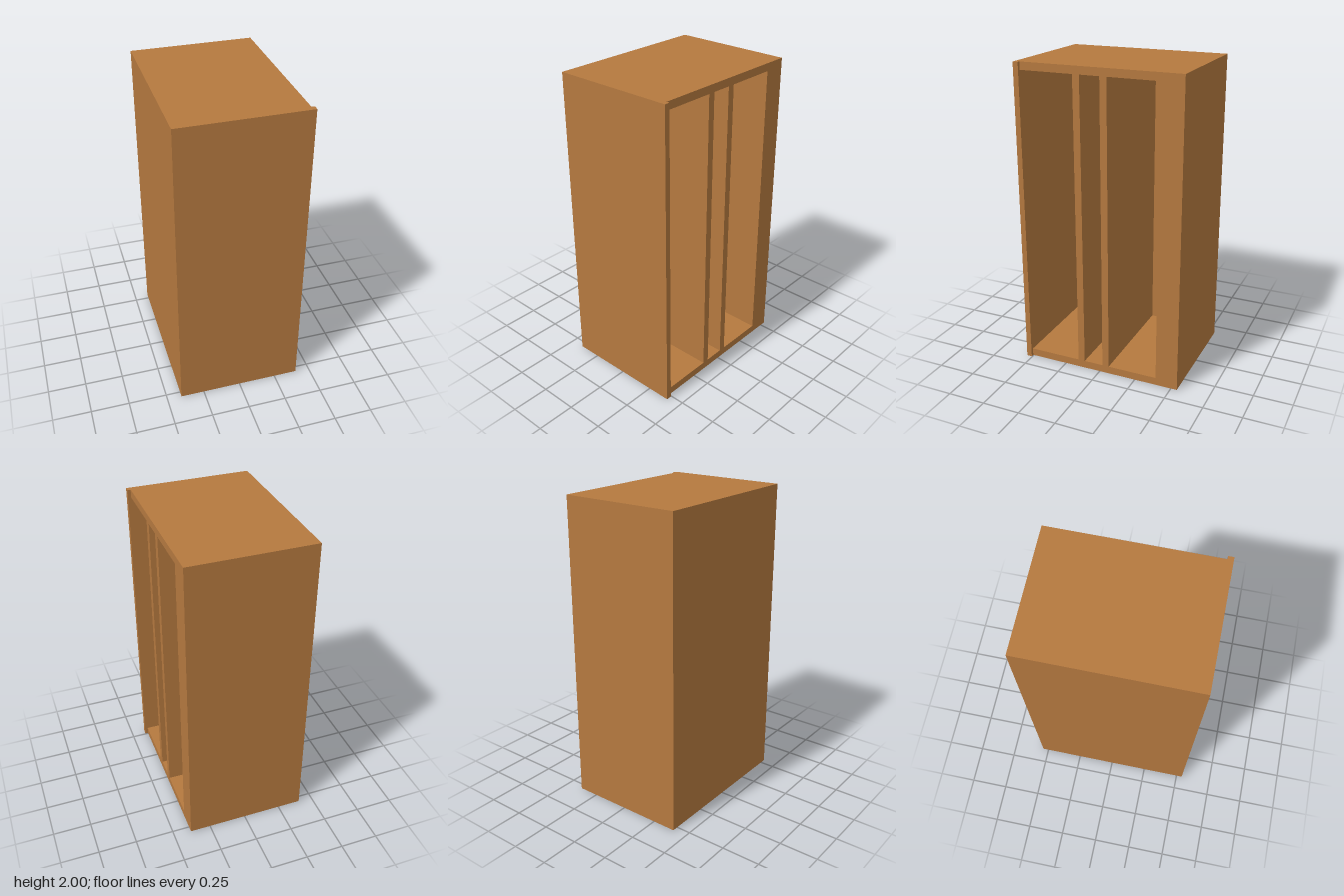
import * as THREE from 'three';

export function createModel() {
  const group = new THREE.Group();
  const wood = new THREE.MeshStandardMaterial({ color: 0xb5793f });

  // Box given by its min and max on each axis
  function board(name, [x0, x1], [y0, y1], [z0, z1]) {
    const mesh = new THREE.Mesh(new THREE.BoxGeometry(x1 - x0, y1 - y0, z1 - z0), wood);
    mesh.name = name;
    mesh.position.set((x0 + x1) / 2, (y0 + y1) / 2, (z0 + z1) / 2);
    group.add(mesh);
  }

  const left = 0.385, inner = -0.385, right = -0.405;
  const back = -0.54, frontJoin = 0.505;
  const low = 0.05, high = 1.95;

  // Front panel, overhanging the open side
  board('frontPanel', [right, 0.405], [0, 2], [frontJoin, 0.54]);

  // Carcass: closed side, floor and roof
  board('closedSide', [right, inner], [low, high], [back, frontJoin]);
  board('floorBoard', [right, left], [0, low], [back, frontJoin]);
  board('roofBoard', [right, left], [high, 2], [back, frontJoin]);

  // Thick back wall and the two upright dividers between the bays
  const uprights = { backWall: [back, -0.395], rearDivider: [-0.065, -0.02], frontDivider: [0.11, 0.155] };
  for (const [name, depth] of Object.entries(uprights)) {
    board(name, [inner, left], [low, high], depth);
  }

  return group;
}
